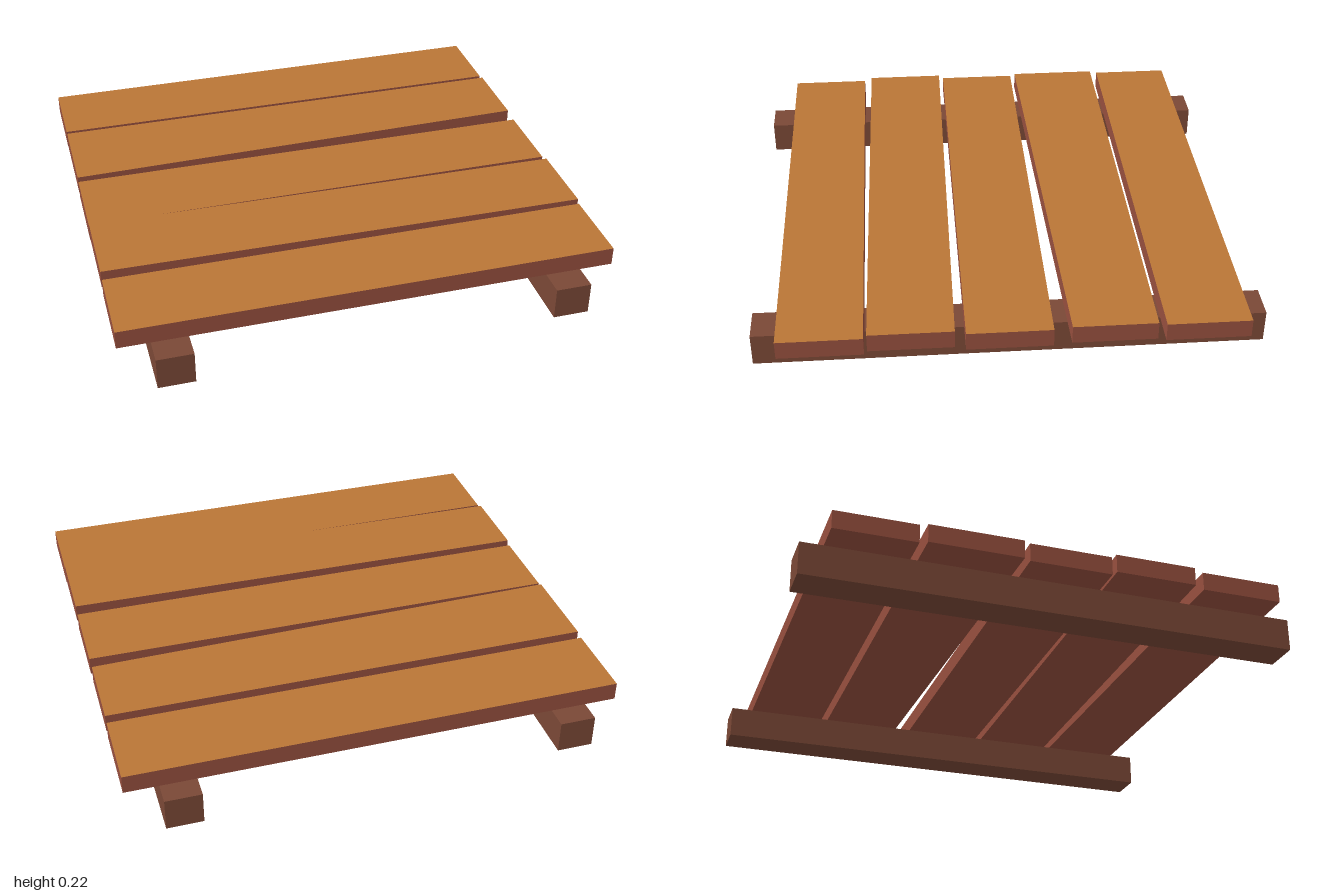
import * as THREE from 'three';

const mat = (name, color) => {
  const m = new THREE.MeshStandardMaterial({ color });
  m.name = name;
  return m;
};

export function createModel() {
  const group = new THREE.Group();
  group.name = 'plankPlatform';
  const topWood = mat('plank top wood', 0xba7636);
  const sideWood = mat('plank side wood', 0x964f3e);
  const beamWood = mat('beam wood', 0x7a4836);

  const beamHeight = 0.133, plankThickness = 0.075, halfLength = 0.997;

  // Two support beams running front to back
  for (const [name, x] of [['rightBeam', -0.795], ['leftBeam', 0.788]]) {
    const beam = new THREE.Mesh(new THREE.BoxGeometry(0.145, beamHeight, 2), beamWood);
    beam.name = name;
    beam.position.set(x, beamHeight / 2, 0);
    group.add(beam);
  }

  // Planks: underside height, then back and front edges at the -x end and the +x end
  const planks = [
    [0.133, -0.909, -0.581, -0.909, -0.581],
    [0.142, -0.549, -0.173, -0.549, -0.221],
    [0.133, -0.152, 0.181, -0.152, 0.181],
    [0.148, 0.2, 0.531, 0.222, 0.552],
    [0.133, 0.564, 0.894, 0.564, 0.894],
  ];
  planks.forEach(([y, backR, frontR, backL, frontL], i) => {
    const geo = new THREE.BoxGeometry(2 * halfLength, plankThickness, 1);
    const pos = geo.attributes.position;
    // Slide each corner to its own edge so the plank can taper or skew
    for (let v = 0; v < pos.count; v++) {
      const front = pos.getZ(v) > 0;
      pos.setZ(v, pos.getX(v) < 0 ? (front ? frontR : backR) : (front ? frontL : backL));
    }
    geo.computeVertexNormals();
    const plank = new THREE.Mesh(geo, [sideWood, sideWood, topWood, sideWood, sideWood, sideWood]);
    plank.name = `plank${i + 1}`;
    plank.position.y = y + plankThickness / 2;
    group.add(plank);
  });

  return group;
}
